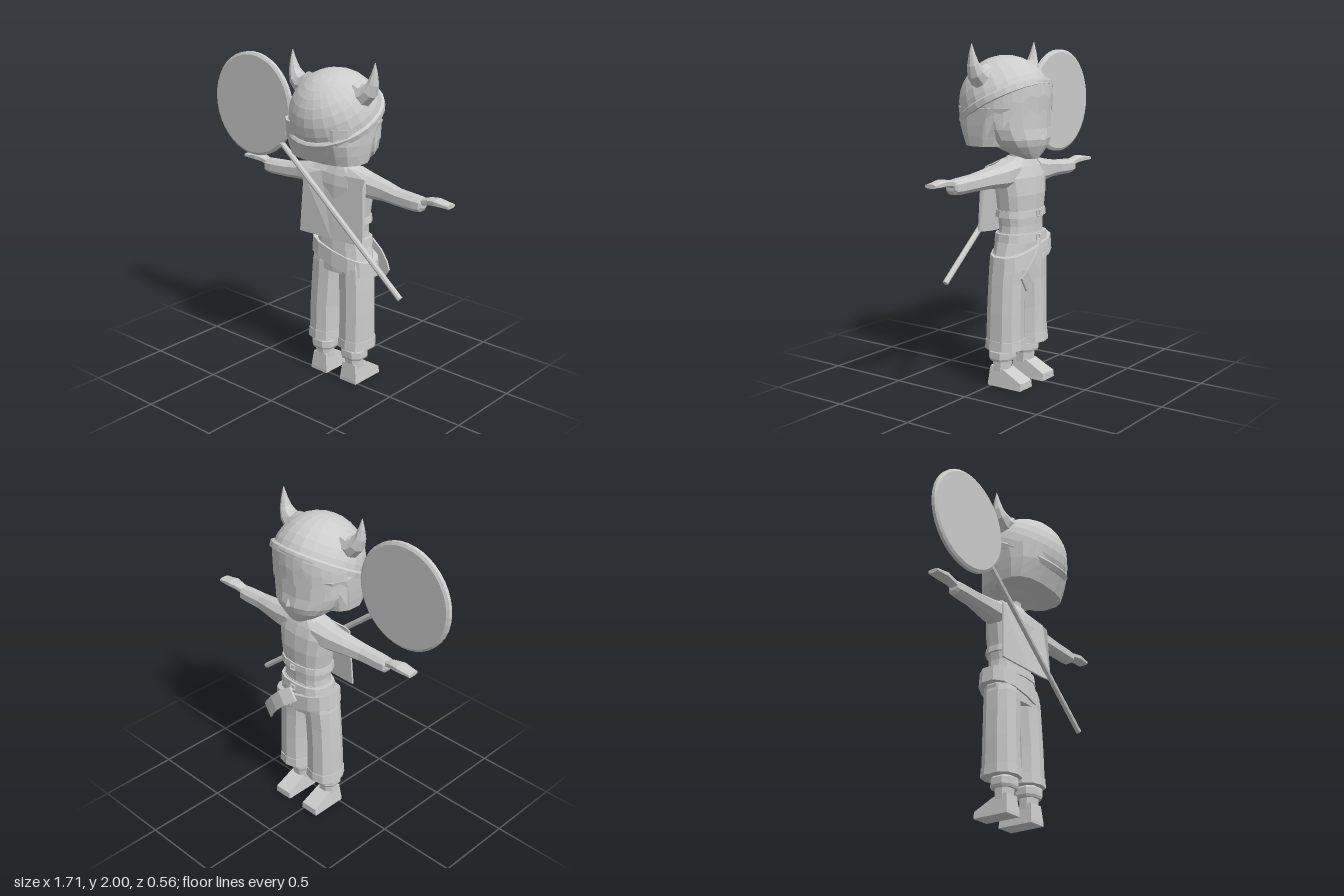
import * as THREE from 'three';

const CX = 0.07; // body axis
const grey = new THREE.MeshStandardMaterial({ color: 0xcccccc, flatShading: true, side: THREE.DoubleSide });
grey.name = 'light grey';
const V = (x, y, z) => new THREE.Vector3(x, y, z);

function part(name, geometry, parent) {
  const mesh = new THREE.Mesh(geometry, grey);
  mesh.name = name;
  parent.add(mesh);
  return mesh;
}

// Skin a list of point rings, closing both ends
function skin(rings, cap = true) {
  const n = rings[0].length, pos = [], idx = [];
  rings.forEach(r => r.forEach(p => pos.push(p.x, p.y, p.z)));
  for (let i = 0; i < rings.length - 1; i++)
    for (let j = 0; j < n; j++) {
      const a = i * n + j, b = i * n + (j + 1) % n;
      idx.push(a, a + n, b, b, a + n, b + n);
    }
  if (cap) for (const [k, flip] of [[0, false], [rings.length - 1, true]]) {
    const o = k * n;
    for (let j = 1; j < n - 1; j++) idx.push(o, o + (flip ? j + 1 : j), o + (flip ? j : j + 1));
  }
  const g = new THREE.BufferGeometry();
  g.setAttribute('position', new THREE.Float32BufferAttribute(pos, 3));
  g.setIndex(idx);
  g.computeVertexNormals();
  return g;
}

const pw = (v, e) => Math.sign(v) * Math.abs(v) ** e;

// Upright loft: rows of [y, centre x, centre z, half width, half depth]; e < 1 is boxier
function upright(rows, n = 12, e = 0.8) {
  return skin(rows.map(([y, x, z, rx, rz]) => Array.from({ length: n }, (_, j) => {
    const a = (j + 0.5) / n * Math.PI * 2;
    return V(x + rx * pw(Math.cos(a), e), y, z + rz * pw(Math.sin(a), e));
  })));
}

// Sideways loft: rows of [x, centre y, centre z, half height, half depth]
function sideways(rows, s, n = 8, e = 0.8) {
  return skin(rows.map(([x, y, z, ry, rz]) => Array.from({ length: n }, (_, j) => {
    const a = (j + 0.5) / n * Math.PI * 2 * s;
    return V(CX + s * x, y + ry * pw(Math.cos(a), e), z + rz * pw(Math.sin(a), e));
  })));
}

// Sloping band around the body; slope is the height change per unit x
function band(name, y, h, rx, rz, slope, parent) {
  const g = upright([[y - h / 2, CX, -0.09, rx, rz], [y + h / 2, CX, -0.09, rx * 0.97, rz * 0.97]], 14);
  const p = g.attributes.position;
  for (let i = 0; i < p.count; i++) p.setY(i, p.getY(i) + slope * (p.getX(i) - CX));
  return part(name, g, parent);
}

function rod(name, a, b, r, parent, n = 8) {
  const m = part(name, new THREE.CylinderGeometry(r, r, a.distanceTo(b), n), parent);
  m.position.copy(a).add(b).multiplyScalar(0.5);
  m.quaternion.setFromUnitVectors(V(0, 1, 0), b.clone().sub(a).normalize());
  return m;
}

function addHead(group) {
  part('neck', upright([[1.3, CX, -0.08, 0.06, 0.055], [1.44, CX, -0.07, 0.06, 0.055]], 8, 1), group);
  part('face', upright([
    [1.345, CX, -0.165, 0.05, 0.035], [1.375, CX, -0.13, 0.11, 0.085], [1.42, CX, -0.09, 0.175, 0.145],
    [1.46, CX, -0.06, 0.21, 0.185], [1.52, CX, -0.04, 0.235, 0.195], [1.65, CX, -0.02, 0.25, 0.215],
    [1.8, CX, 0, 0.2, 0.2]], 16, 0.9), group);
  const nose = part('nose', new THREE.ConeGeometry(0.02, 0.05, 4), group);
  nose.position.set(CX, 1.48, -0.24);
  part('backHair', upright([
    [1.42, CX, 0.05, 0.245, 0.145], [1.48, CX, 0.05, 0.255, 0.17],
    [1.54, CX, 0.045, 0.262, 0.2], [1.64, CX, 0.02, 0.27, 0.24]], 16, 0.75), group);

  // Jagged fringe hanging from the helmet rim
  const low = [1.46, 1.56, 1.54, 1.62, 1.6, 1.66, 1.59, 1.63, 1.6, 1.64, 1.57, 1.6, 1.53, 1.57, 1.46];
  const rows = [[], [], []];
  low.forEach((y, i) => {
    const a = Math.PI * (1 + (i + 0.4) / (low.length - 0.2));
    const x = CX + 0.262 * Math.cos(a), z = -0.01 + 0.24 * Math.sin(a);
    const top = 1.67 - 0.5 * z;
    rows[0].push(V(x, top, z));
    rows[1].push(V(x, (y + top) / 2, z * 1.02));
    rows[2].push(V(x, y, z));
  });
  const strip = new THREE.PlaneGeometry(1, 1, low.length - 1, 2);
  rows.flat().forEach((p, i) => strip.attributes.position.setXYZ(i, p.x, p.y, p.z));
  strip.computeVertexNormals();
  part('fringe', strip, group);

  // Helmet tilted with its rim low at the back
  const helmet = new THREE.Group();
  helmet.name = 'helmet';
  helmet.position.set(CX + 0.008, 1.66, 0.01);
  helmet.rotation.x = 0.49;
  group.add(helmet);
  part('helmetDome', new THREE.SphereGeometry(0.272, 24, 8, 0, Math.PI * 2, 0, Math.PI / 2), helmet);
  const rim = [[0.262, -0.02], [0.287, -0.02], [0.291, 0.012], [0.277, 0.022], [0.262, 0.02], [0.262, -0.02]];
  part('helmetRim', new THREE.LatheGeometry(rim.map(p => new THREE.Vector2(...p)), 28), helmet);

  // Curved horns
  for (const s of [1, -1]) {
    const steps = [[0.18, 1.815, 0.075, 0.06], [0.235, 1.81, 0.065, 0.06], [0.272, 1.84, 0.05, 0.052],
      [0.293, 1.885, 0.033, 0.036], [0.302, 1.94, 0.018, 0.02], [0.306, 2.0, 0.002, 0.002]];
    const tilt = [0, 0.35, 0.8, 1.2, 1.4, 1.5];
    part('horn', skin(steps.map(([x, y, r, rz], i) => Array.from({ length: 8 }, (_, j) => {
      const a = j / 8 * Math.PI * 2 * s, c = r * Math.cos(a);
      return V(CX + s * (x - c * Math.sin(tilt[i])), y + c * Math.cos(tilt[i]), 0.03 + rz * Math.sin(a));
    }))), group);
  }
}

function addTorso(group) {
  part('shirt', upright([
    [0.9, CX, -0.09, 0.155, 0.1], [0.96, CX, -0.09, 0.15, 0.1], [1.04, CX, -0.09, 0.16, 0.105],
    [1.14, CX, -0.09, 0.175, 0.11], [1.24, CX, -0.085, 0.19, 0.105], [1.3, CX, -0.08, 0.175, 0.09],
    [1.335, CX, -0.08, 0.11, 0.075], [1.355, CX, -0.08, 0.08, 0.065]], 14), group);
  part('hips', upright([[0.7, CX, -0.075, 0.19, 0.105], [0.78, CX, -0.08, 0.2, 0.112],
    [0.86, CX, -0.085, 0.18, 0.11], [0.92, CX, -0.09, 0.155, 0.105]], 14), group);
  band('chestStrap', 1.03, 0.04, 0.172, 0.118, 0, group);
  band('waistBelt', 0.89, 0.05, 0.178, 0.123, 0, group);
  band('hipBelt', 0.79, 0.095, 0.228, 0.133, -0.24, group);
  for (const y of [1.03, 0.89]) {
    const b = part('smallBuckle', new THREE.TorusGeometry(0.022, 0.006, 4, 4), group);
    b.position.set(CX, y, -0.215);
    b.rotation.z = Math.PI / 4;
  }
  // Round buckle and the loose end of the hip belt
  const ring = part('roundBuckle', new THREE.TorusGeometry(0.032, 0.009, 6, 12), group);
  ring.position.set(CX + 0.03, 0.79, -0.24);
  const stud = part('buckleStud', new THREE.CylinderGeometry(0.015, 0.015, 0.02, 8), group);
  stud.position.copy(ring.position);
  stud.rotation.x = Math.PI / 2;
  const path = [[0.06, 0.85, -0.225], [0.12, 0.81, -0.262], [0.18, 0.75, -0.27], [0.23, 0.69, -0.262], [0.262, 0.645, -0.245]];
  part('beltEnd', skin(path.map(([x, y, z]) => [
    V(x + 0.025, y + 0.04, z - 0.006), V(x - 0.025, y - 0.04, z - 0.006),
    V(x - 0.025, y - 0.04, z + 0.006), V(x + 0.025, y + 0.04, z + 0.006)])), group);

  // Back cloth with a notched collar, bending over the shoulders
  const outline = [[-0.22, 1.3], [-0.11, 1.305], [-0.065, 1.35], [0, 1.305], [0.065, 1.35], [0.22, 1.31],
    [0.228, 1.27], [0.24, 0.93], [0.15, 0.92], [0, 0.915], [-0.247, 0.91], [-0.228, 1.27]];
  const cloth = new THREE.ExtrudeGeometry(new THREE.Shape(outline.map(p => new THREE.Vector2(...p))),
    { depth: 0.012, bevelEnabled: false });
  const p = cloth.attributes.position;
  for (let i = 0; i < p.count; i++)
    p.setZ(i, p.getZ(i) + 0.018 + (1.27 - p.getY(i)) * 0.04 - Math.max(0, p.getY(i) - 1.27) * 0.7);
  cloth.translate(CX, 0, 0);
  cloth.computeVertexNormals();
  part('backCloth', cloth, group);
}

function addLimbs(group) {
  for (const s of [1, -1]) {
    part('sleeve', sideways([
      [0.1, 1.265, -0.08, 0.085, 0.09], [0.2, 1.255, -0.08, 0.07, 0.075], [0.32, 1.25, -0.07, 0.055, 0.062],
      [0.42, 1.24, -0.055, 0.048, 0.052], [0.54, 1.235, -0.05, 0.046, 0.05],
      [0.59, 1.235, -0.05, 0.042, 0.045], [0.602, 1.24, -0.05, 0.025, 0.03]], s), group);
    part('hand', sideways([
      [0.58, 1.25, -0.05, 0.02, 0.028], [0.64, 1.265, -0.055, 0.02, 0.034], [0.69, 1.27, -0.055, 0.02, 0.042],
      [0.74, 1.266, -0.055, 0.015, 0.038], [0.78, 1.264, -0.055, 0.012, 0.036]], s, 8, 0.6), group);
    const x = CX + s * 0.118;
    part('trouserLeg', upright([
      [0.23, x, -0.063, 0.103, 0.112], [0.29, x, -0.063, 0.1, 0.108], [0.45, x, -0.065, 0.098, 0.105],
      [0.62, x - s * 0.008, -0.068, 0.1, 0.102], [0.74, x - s * 0.016, -0.072, 0.1, 0.104],
      [0.8, x - s * 0.02, -0.075, 0.09, 0.1]], 10), group);
    part('trouserCuff', upright([[0.228, x, -0.063, 0.107, 0.116], [0.285, x, -0.063, 0.104, 0.112]], 10), group);
    part('ankle', upright([[0.09, x, -0.04, 0.058, 0.05], [0.16, x, -0.04, 0.058, 0.055], [0.25, x, -0.04, 0.055, 0.055]], 8), group);
    part('bootBand', upright([[0.155, x, -0.04, 0.074, 0.07], [0.17, x, -0.04, 0.082, 0.076],
      [0.21, x, -0.04, 0.082, 0.076], [0.22, x, -0.04, 0.074, 0.07]], 8), group);
    // Wedge foot with the toe towards -z
    const slice = (z, top, wt, wb) => [V(x - wb, 0, z), V(x + wb, 0, z), V(x + wt, top, z), V(x - wt, top, z)];
    part('foot', skin([slice(0.02, 0.02, 0.062, 0.062), slice(0.01, 0.12, 0.05, 0.062),
      slice(-0.085, 0.105, 0.05, 0.062), slice(-0.21, 0.042, 0.056, 0.062)].reverse()), group);
  }
}

function addNet(group) {
  const profile = [[0, -0.02], [0.3, -0.02], [0.316, -0.01], [0.316, 0.01], [0.3, 0.02], [0, 0.02]];
  const disc = part('roundHead', new THREE.LatheGeometry(profile.map(p => new THREE.Vector2(...p)), 40), group);
  disc.position.set(-0.54, 1.635, 0.05);
  disc.rotation.x = Math.PI / 2;
  rod('handle', V(-0.32, 1.44, 0.053), V(0.6, 0.68, 0.053), 0.017, group);
}

export function createModel() {
  const group = new THREE.Group();
  group.name = 'hornedHelmetFigure';
  addHead(group);
  addTorso(group);
  addLimbs(group);
  addNet(group);
  return group;
}
